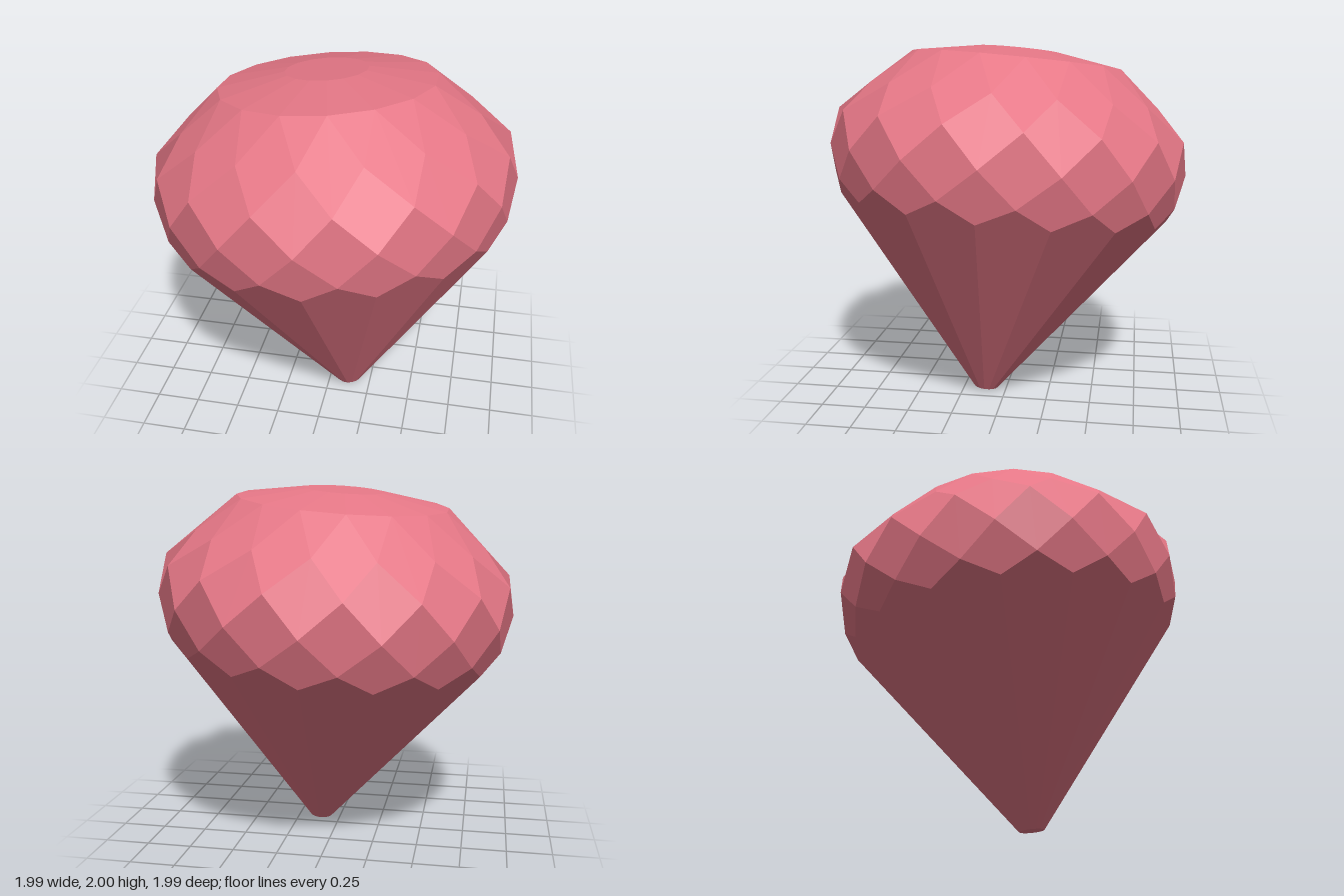
import * as THREE from 'three';

const SIDES = 16;

// Rings along the gem's axis: [radius, height]
const RING = {
  tip: [0.07, 0],
  a: [0.925, 1.104],
  b: [0.97, 1.2],
  c: [1.0, 1.37],
  d: [0.975, 1.56],
  e: [0.805, 1.723],
  rim: [0.592, 1.914],
  top: [0.225, 1.977],
};

// Point on a ring, t counted in facet steps from the front
function point([radius, height], t) {
  const angle = (t / SIDES) * Math.PI * 2;
  return new THREE.Vector3(radius * Math.sin(angle), height, radius * Math.cos(angle));
}

// Turns polygons into a geometry with one flat normal per polygon
function facetGeometry(faces) {
  const positions = [], normals = [];
  for (const face of faces) {
    const normal = new THREE.Vector3();
    face.forEach((p, i) => normal.add(p.clone().cross(face[(i + 1) % face.length])));
    normal.normalize();
    for (let i = 1; i < face.length - 1; i++) {
      for (const p of [face[0], face[i], face[i + 1]]) {
        positions.push(p.x, p.y, p.z);
        normals.push(normal.x, normal.y, normal.z);
      }
    }
  }
  const geometry = new THREE.BufferGeometry();
  geometry.setAttribute('position', new THREE.Float32BufferAttribute(positions, 3));
  geometry.setAttribute('normal', new THREE.Float32BufferAttribute(normals, 3));
  return geometry;
}

export function createModel() {
  const { tip, a, b, c, d, e, rim, top } = RING;
  const pavilion = [], crown = [], table = [];

  for (let t = 0; t < SIDES; t++) {
    // Long lower facets
    pavilion.push([point(b, t + 0.5), point(a, t), point(tip, t), point(tip, t + 1), point(a, t + 1)]);

    // Four staggered rows of diamond facets
    [[a, b, c], [b, c, d], [c, d, e], [d, e, rim]].forEach(([low, mid, high], row) => {
      const s = t + (row % 2) * 0.5;
      crown.push([point(low, s), point(mid, s + 0.5), point(high, s), point(mid, s - 0.5)]);
    });
    // Triangles under the rim
    crown.push([point(e, t), point(rim, t + 0.5), point(rim, t - 0.5)]);

    // Shallow slope between rim and top disc
    table.push([point(rim, t - 0.5), point(rim, t + 0.5), point(top, t + 0.5), point(top, t - 0.5)]);
  }

  // Flat end caps
  const steps = Array.from({ length: SIDES }, (_, i) => i);
  table.push(steps.map((i) => point(top, i + 0.5)));
  pavilion.push(steps.map((i) => point(tip, -i)));

  const pink = new THREE.MeshStandardMaterial({ color: 0xe57786 });
  pink.name = 'rosePink';

  const gem = new THREE.Group();
  gem.name = 'gem';
  for (const [name, faces] of Object.entries({ pavilion, crown, table })) {
    const mesh = new THREE.Mesh(facetGeometry(faces), pink);
    mesh.name = name;
    gem.add(mesh);
  }

  // The gem leans slightly back and to its right
  const axis = new THREE.Vector3(-0.086, 1, -0.086).normalize();
  gem.quaternion.setFromUnitVectors(new THREE.Vector3(0, 1, 0), axis);
  gem.position.set(0.12, 0.009, 0.12);

  const model = new THREE.Group();
  model.name = 'facetedGem';
  model.add(gem);
  return model;
}
